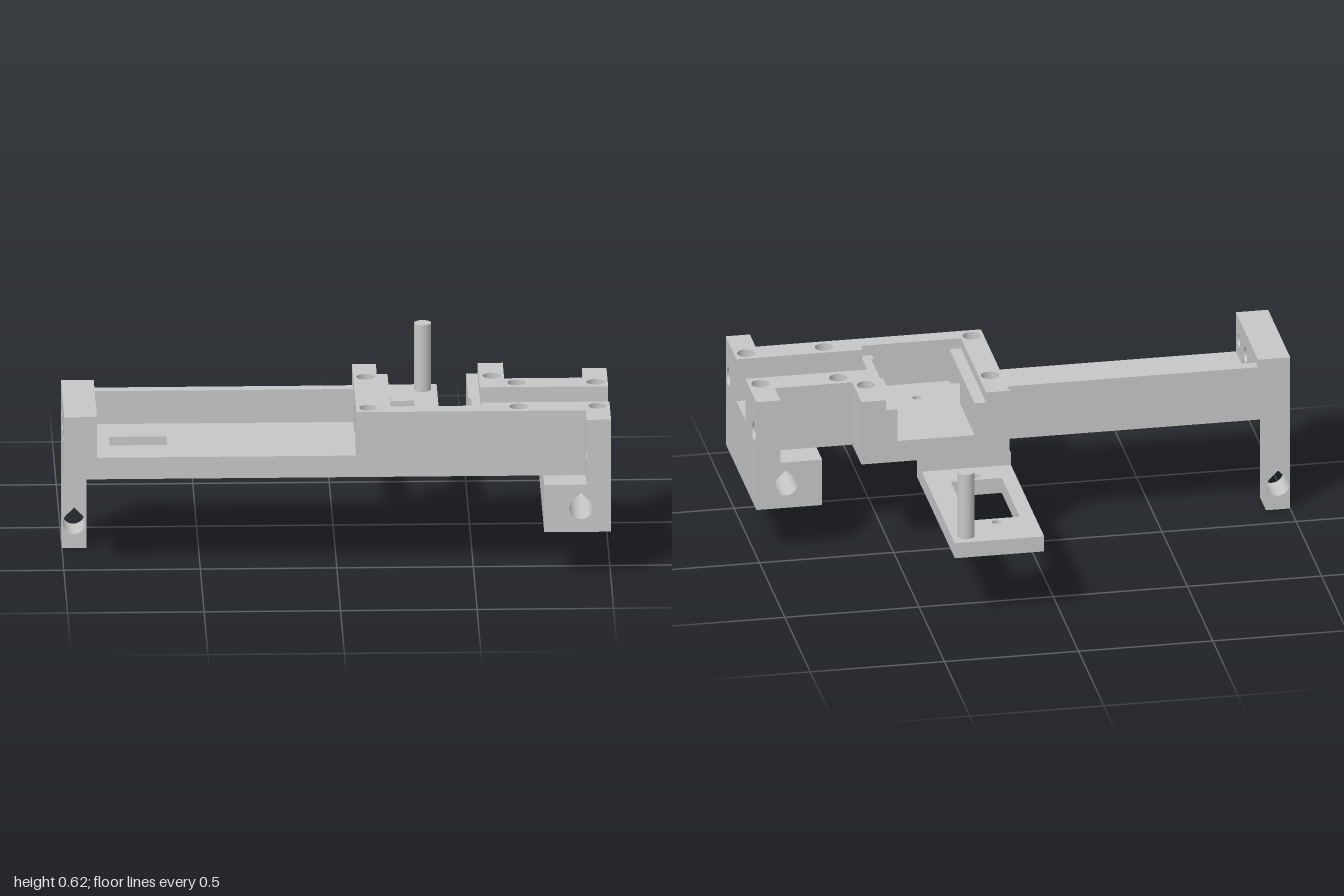
import * as THREE from 'three';

const grey = new THREE.MeshStandardMaterial({ color: 0xc6c6c6 });
grey.name = 'plain grey';

// Outline helpers: each returns a list of [u, v] points
const rect = (u0, u1, v0, v1) => [[u0, v0], [u1, v0], [u1, v1], [u0, v1]];
const disc = (u, v, r, n = 28) => Array.from({ length: n }, (_, i) => {
  const a = (i / n) * Math.PI * 2;
  return [u + r * Math.cos(a), v + r * Math.sin(a)];
});
// Round hole with a pointed roof
const teardrop = (u, v, r, n = 24) => {
  const pts = [[u, v + r * Math.SQRT2]];
  for (let i = 0; i <= n; i++) {
    const a = Math.PI * (0.75 + 1.5 * i / n);
    pts.push([u + r * Math.cos(a), v + r * Math.sin(a)]);
  }
  return pts;
};

// Extrude an outline from a to b along an axis.
// Points are (z, y) for axis x, (x, z) for axis y, (x, y) for axis z.
function solid(group, name, axis, a, b, outline, holes = []) {
  // Every loop is turned counter-clockwise so the hole walls face inwards
  const loop = pts => {
    const out = pts.map(([u, v]) => new THREE.Vector2(axis === 'x' ? -u : u, axis === 'y' ? -v : v));
    return THREE.ShapeUtils.isClockWise(out) ? out.reverse() : out;
  };
  const shape = new THREE.Shape(loop(outline));
  shape.holes = holes.map(h => new THREE.Path(loop(h)));
  const geo = new THREE.ExtrudeGeometry(shape, { depth: b - a, bevelEnabled: false });
  geo.translate(0, 0, a);
  if (axis === 'x') geo.rotateY(Math.PI / 2);
  if (axis === 'y') geo.rotateX(-Math.PI / 2);
  const mesh = new THREE.Mesh(geo, grey);
  mesh.name = name;
  group.add(mesh);
}

export function createModel() {
  const g = new THREE.Group();
  g.name = 'mountingBracket';
  const add = (...args) => solid(g, ...args);
  const bolt = (x, z) => disc(x, z, 0.033);

  // Floor in two layers, so the recesses stay blind
  const floor = [[-1, 0.117], [0.07, 0.117], [0.07, -0.01], [0.622, -0.01],
    [0.622, 0.172], [1, 0.172], [1, 0.553], [-1, 0.553]];
  add('floorUnderside', 'y', 0.367, 0.41, floor,
    [[-0.9, 0.495], [-0.525, 0.49], [0.345, 0.36]].map(([x, z]) => disc(x, z, 0.035)));
  add('floorTop', 'y', 0.41, 0.45, floor,
    [rect(-0.83, -0.62, 0.31, 0.41), disc(0.345, 0.36, 0.017)]);

  // Far end block, back wall and leg
  add('endBlock', 'x', -1, -0.88, rect(0.117, 0.553, 0.45, 0.607),
    [disc(0.22, 0.515, 0.024), teardrop(0.365, 0.515, 0.028), disc(0.5, 0.515, 0.024)]);
  add('backWall', 'z', 0.117, 0.16, rect(-0.88, 0.07, 0.45, 0.577));
  add('leg', 'z', 0.12, 0.24, rect(-1, -0.91, 0, 0.367), [teardrop(-0.955, 0.096, 0.042)]);

  // Walls around the pocket: lower part with ledges
  const frontBolts = [bolt(0.115, 0.502), bolt(0.665, 0.502), bolt(0.955, 0.502)];
  const backBolts = [bolt(0.577, 0.14), bolt(0.665, 0.222), bolt(0.955, 0.222)];
  add('pocketSideLower', 'y', 0.45, 0.577, rect(0.07, 0.2, -0.01, 0.28), [bolt(0.115, 0.14)]);
  add('pocketWindowLintel', 'y', 0.557, 0.577, rect(0.07, 0.2, 0.28, 0.46));
  add('frontRailLower', 'y', 0.45, 0.577, [[0.07, 0.46], [0.2, 0.46], [0.2, 0.488], [0.488, 0.488],
    [0.488, 0.453], [1, 0.453], [1, 0.553], [0.07, 0.553]], frontBolts);
  add('channelStop', 'x', 0.498, 0.53, rect(0.275, 0.453, 0.45, 0.577), [teardrop(0.365, 0.515, 0.028)]);

  // Walls around the pocket: upper part
  add('frontRailUpper', 'y', 0.577, 0.617, [[0.07, -0.01], [0.157, -0.01], [0.157, 0.488], [0.53, 0.488],
    [0.53, 0.453], [1, 0.453], [1, 0.553], [0.07, 0.553]], [bolt(0.115, 0.14), ...frontBolts]);
  for (const [name, y0, y1, x] of [['backRailLower', 0.45, 0.577, 0.488], ['backRailUpper', 0.577, 0.617, 0.53]]) {
    add(name, 'y', y0, y1, [[x, -0.01], [0.622, -0.01], [0.622, 0.172], [1, 0.172], [1, 0.275], [x, 0.275]], backBolts);
  }

  // Near end foot and its upright wings
  add('foot', 'z', 0.06, 0.665, rect(0.755, 1, 0.185, 0.367), [teardrop(0.89, 0.276, 0.042)]);
  add('backWing', 'x', 0.91, 1, rect(0.06, 0.172, 0.367, 0.617), [teardrop(0.113, 0.475, 0.032)]);
  add('frontWing', 'x', 0.91, 1, rect(0.553, 0.665, 0.367, 0.617), [teardrop(0.613, 0.475, 0.032)]);

  // Rear arm with window, screw holes and pin
  add('armRoot', 'y', 0.26, 0.367, rect(0.065, 0.398, -0.01, 0.08));
  add('armPlate', 'y', 0.26, 0.32, rect(0.065, 0.398, -0.667, -0.01),
    [rect(0.12, 0.31, -0.475, -0.12), disc(0.212, -0.507, 0.017), disc(0.212, -0.087, 0.017)]);
  const pin = new THREE.Mesh(new THREE.CylinderGeometry(0.031, 0.031, 0.257, 32), grey);
  pin.name = 'pin';
  pin.position.set(0.345, 0.4485, -0.607);
  g.add(pin);

  return g;
}
